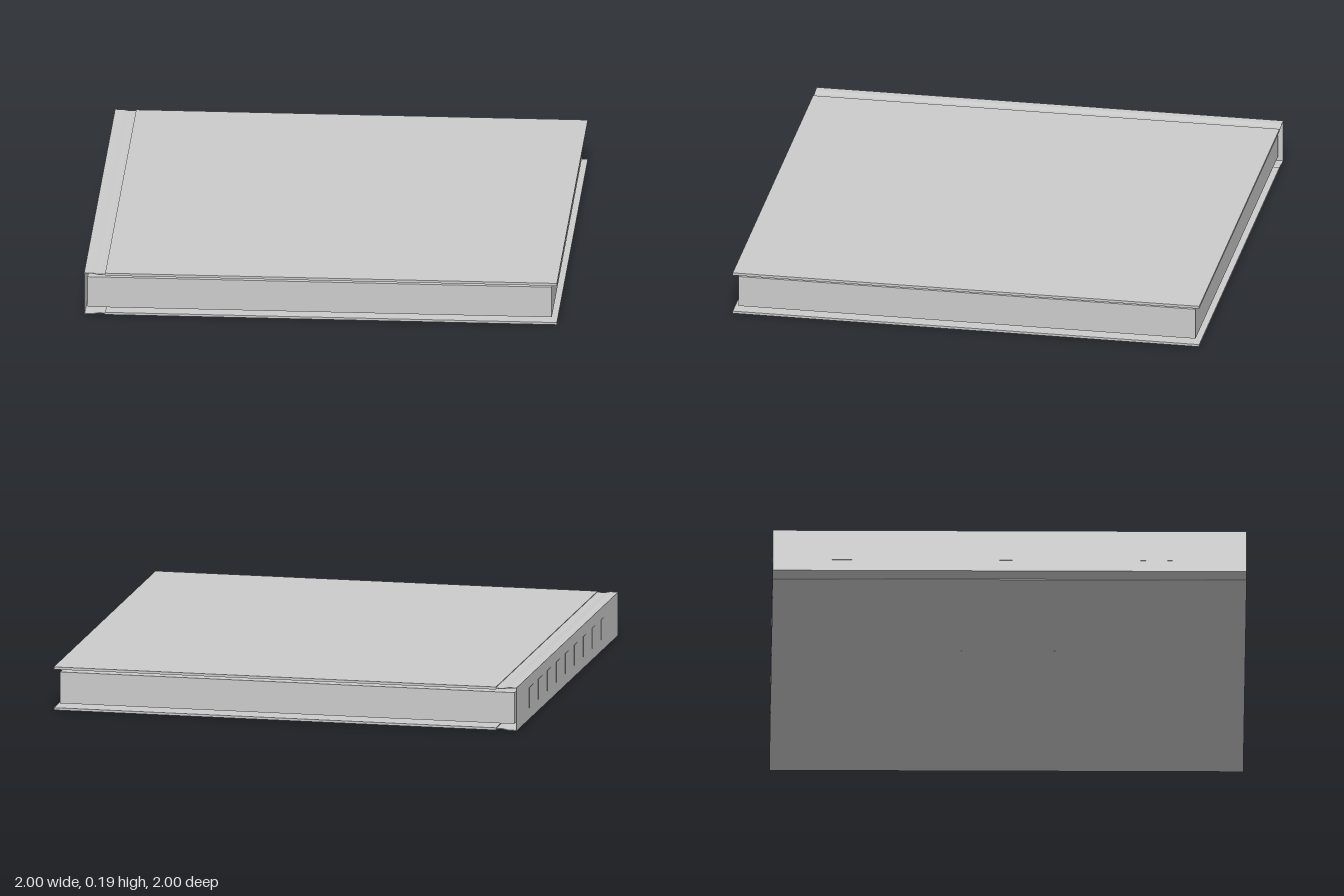
import * as THREE from 'three';

const H = 0.187;      // total thickness of the book
const BOARD = 0.011;  // cover board thickness
const HINGE = -0.91;  // where the boards meet the hinge

export function createModel() {
  const book = new THREE.Group();
  book.name = 'book';
  const material = new THREE.MeshStandardMaterial({ color: 0xcccccc, side: THREE.DoubleSide });

  function add(name, geometry) {
    const mesh = new THREE.Mesh(geometry, material);
    mesh.name = name;
    book.add(mesh);
    return mesh;
  }

  // Box given by its minimum and maximum corners
  function block(name, [x0, y0, z0], [x1, y1, z1]) {
    const mesh = add(name, new THREE.BoxGeometry(x1 - x0, y1 - y0, z1 - z0));
    mesh.position.set((x0 + x1) / 2, (y0 + y1) / 2, (z0 + z1) / 2);
  }

  // Cover boards
  block('bottomCover', [HINGE, 0.001, -1], [1, BOARD, 1]);
  block('topCover', [HINGE, H - BOARD, -1], [1, H, 1]);

  // Thin spine wrap with a shallow hinge groove above and below
  const lower = [[HINGE, 0.004], [-0.925, 0.006], [-0.94, 0.006], [-0.965, 0.001], [-0.999, 0.001]];
  const outer = [...lower, ...lower.map(([x, y]) => [x, H + 0.001 - y]).reverse()];
  const t = 0.003;
  const inner = outer.map(([x, y]) => [x < -0.99 ? x + t : x, y < H / 2 ? y + t : y - t]);
  const profile = new THREE.Shape([...outer, ...inner.reverse()].map(([x, y]) => new THREE.Vector2(x, y)));
  const wrap = new THREE.ExtrudeGeometry(profile, { depth: 2, bevelEnabled: false });
  wrap.translate(0, 0, -1);
  add('spineWrap', wrap);

  // Page block and the lining glued to its back
  block('pages', [-0.977, 0.027, -0.98], [0.977, 0.162, 0.98]);
  block('spineLining', [-0.986, 0.027, -0.98], [-0.977, 0.162, 0.98]);

  // Row of small panels on the spine
  for (let i = -4; i <= 4; i++) {
    const z = i * 0.177;
    block('spinePanel', [-1, 0.05, z - 0.043], [-0.998, 0.137, z + 0.043]);
  }

  // Square panel under the bottom cover
  block('bottomPanel', [-0.2, 0, -0.2], [0.2, 0.002, 0.2]);

  return book;
}
